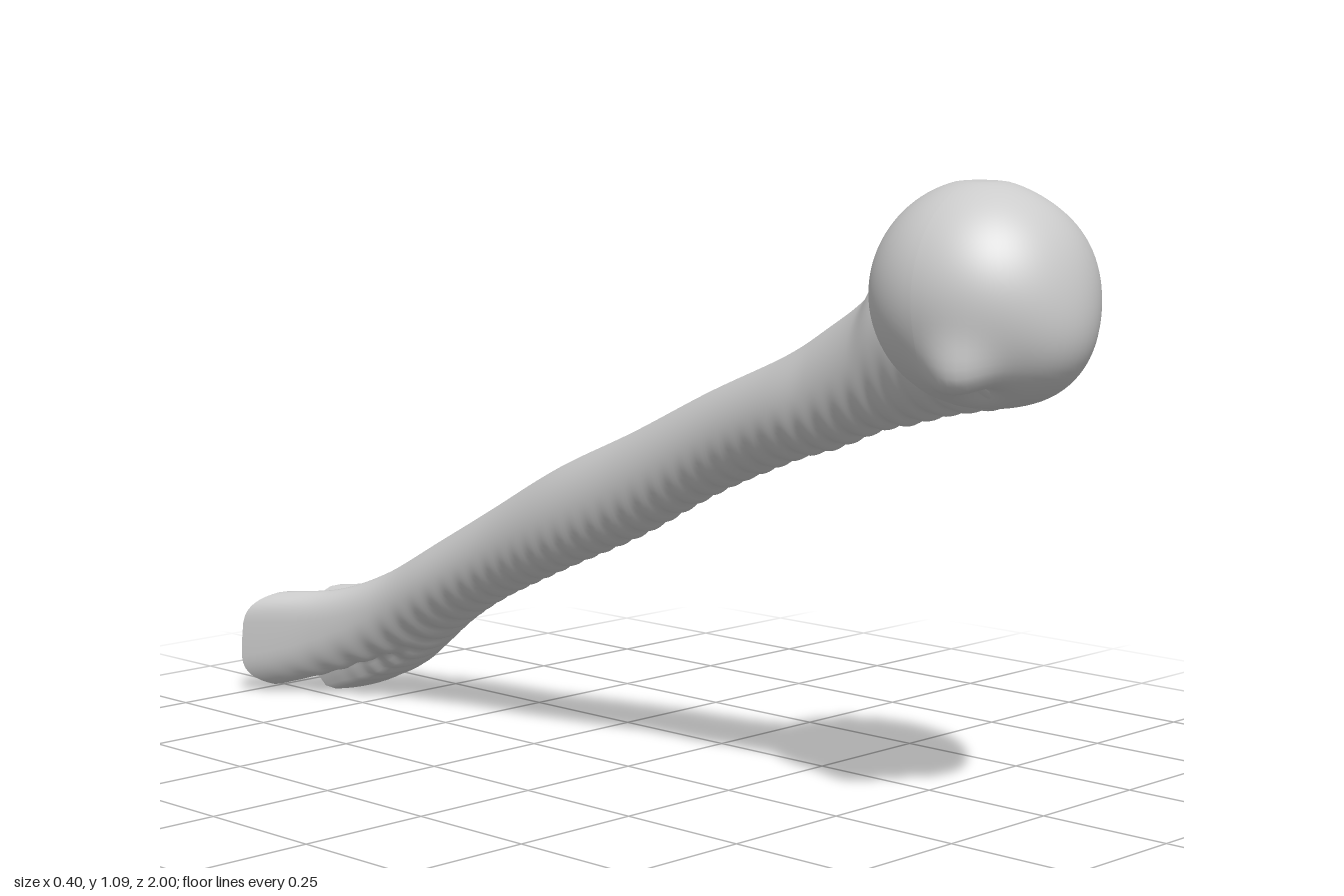
import * as THREE from 'three';

const material = new THREE.MeshStandardMaterial({ color: 0xcccccc });
const SIDES = 64;
const bell = (d, width) => Math.exp(-((d / width) ** 2));

// Skin consecutive rings of points into a smooth surface.
function loft(rings, name) {
  const positions = [], index = [];
  rings.forEach((ring) => ring.forEach((p) => positions.push(p.x, p.y, p.z)));
  for (let i = 0; i < rings.length - 1; i++) {
    for (let j = 0; j < SIDES; j++) {
      const k = (j + 1) % SIDES;
      const a = i * SIDES + j, b = i * SIDES + k;
      index.push(a, a + SIDES, b, b, a + SIDES, b + SIDES);
    }
  }
  const geometry = new THREE.BufferGeometry();
  geometry.setAttribute('position', new THREE.Float32BufferAttribute(positions, 3));
  geometry.setIndex(index);
  geometry.computeVertexNormals();
  const mesh = new THREE.Mesh(geometry, material);
  mesh.name = name;
  return mesh;
}

// Shaft stations: centre z, x, y, then half width, half height, diagonal skew.
const stations = [
  [0.92, -0.01, 0.86, 0.09, 0.09, 0],
  [0.85, -0.01, 0.85, 0.12, 0.11, 0],
  [0.75, -0.01, 0.85, 0.125, 0.13, 0],
  [0.66, -0.012, 0.84, 0.108, 0.145, 0],
  [0.6, -0.015, 0.795, 0.092, 0.115, 0],
  [0.5, -0.01, 0.743, 0.085, 0.102, 0],
  [0.4, -0.005, 0.7, 0.085, 0.09, 0],
  [0.2, 0.015, 0.62, 0.078, 0.09, 0],
  [0, 0.028, 0.525, 0.077, 0.095, 0],
  [-0.2, 0.035, 0.44, 0.075, 0.095, 0],
  [-0.4, 0.06, 0.348, 0.08, 0.088, 0],
  [-0.55, 0.075, 0.27, 0.088, 0.088, 0.015],
  [-0.68, 0.08, 0.192, 0.095, 0.094, 0.04],
  [-0.78, 0.068, 0.142, 0.118, 0.098, 0.08],
  [-0.88, 0.045, 0.115, 0.155, 0.11, 0.115],
];
const centres = new THREE.CatmullRomCurve3(stations.map((s) => new THREE.Vector3(s[1], s[2], s[0])));
const sizes = new THREE.CatmullRomCurve3(stations.map((s) => new THREE.Vector3(s[3], s[4], s[5])));
centres.curveType = sizes.curveType = 'catmullrom';

// One shaft section; towards the lower end it turns into two notched lobes.
function section(t) {
  const c = centres.getPoint(t), h = sizes.getPoint(t);
  const e = THREE.MathUtils.smoothstep(-c.z, 0.62, 0.88);
  return Array.from({ length: SIDES }, (_, j) => {
    const angle = (j / SIDES) * Math.PI * 2;
    const u = Math.cos(angle), s = Math.sin(angle);
    const power = 1 - e * (u < 0 ? 0.5 : 0.15);
    const v = Math.sign(s) * Math.abs(s) ** power;
    let y = c.y + h.y * v;
    // notches between the lobes, above and below
    y += e * bell(u + 0.32, 0.15) * (v < 0 ? 0.07 : -0.03) * Math.abs(v);
    // fine growth ridges along the underside
    const ridge = Math.max(0, -v) * (1 - e) * 0.005 * Math.sin(c.z * 150);
    return new THREE.Vector3(c.x + h.x * u, y + ridge, c.z + h.z * u + 0.01 * e * v);
  });
}

// Hollowed joint face with a groove between the lobes and a small pit.
function jointFace(rim) {
  const centre = new THREE.Vector3(0.045, 0.115, -0.88);
  const inward = new THREE.Vector3(-0.55, 0.3, 0.78);
  const pit = new THREE.Vector3(0.115, 0.09, -0.827);
  const rings = [];
  for (let i = 0; i <= 20; i++) {
    const s = 1 - i / 20;
    rings.push(rim.map((p) => {
      const q = centre.clone().lerp(p, s);
      const u = (q.x - centre.x) / 0.155;
      const depth = (1 - s * s) * (0.02 + 0.03 * bell(u + 0.32, 0.2)) + 0.04 * bell(q.distanceTo(pit), 0.02);
      return q.addScaledVector(inward, depth);
    }));
  }
  return loft(rings, 'jointFace');
}

// Rounded head: a sphere pushed out by broad bumps and flattened on top.
function makeHead() {
  const geometry = new THREE.SphereGeometry(1, 72, 48);
  const position = geometry.attributes.position;
  // direction, height, width
  const bumps = [
    [new THREE.Vector3(0, -0.5, 0.85), 0.022, 0.5],
    [new THREE.Vector3(-0.72, -0.62, 0.3), 0.036, 0.27],
    [new THREE.Vector3(-0.45, -0.85, 0.3), -0.025, 0.2],
    [new THREE.Vector3(0.5, -0.75, 0.35), 0.012, 0.4],
    [new THREE.Vector3(0.5, 0.75, 0.2), -0.01, 0.4],
  ];
  bumps.forEach((b) => b[0].normalize());
  const p = new THREE.Vector3();
  for (let i = 0; i < position.count; i++) {
    p.fromBufferAttribute(position, i);
    let radius = 0.182;
    for (const [dir, height, width] of bumps) radius += height * bell(p.distanceTo(dir), width);
    p.multiplyScalar(radius);
    p.y = Math.min(p.y, 0.177 + 0.03 * (p.y - 0.177));
    position.setXYZ(i, p.x, p.y, p.z);
  }
  geometry.computeVertexNormals();
  const head = new THREE.Mesh(geometry, material);
  head.name = 'head';
  head.position.set(-0.022, 0.917, 0.815);
  return head;
}

export function createModel() {
  const model = new THREE.Group();
  model.name = 'bone';
  const steps = (stations.length - 1) * 24;
  const rings = Array.from({ length: steps + 1 }, (_, i) => section(i / steps));
  model.add(loft(rings, 'shaft'), jointFace(rings[steps]), makeHead());
  return model;
}
